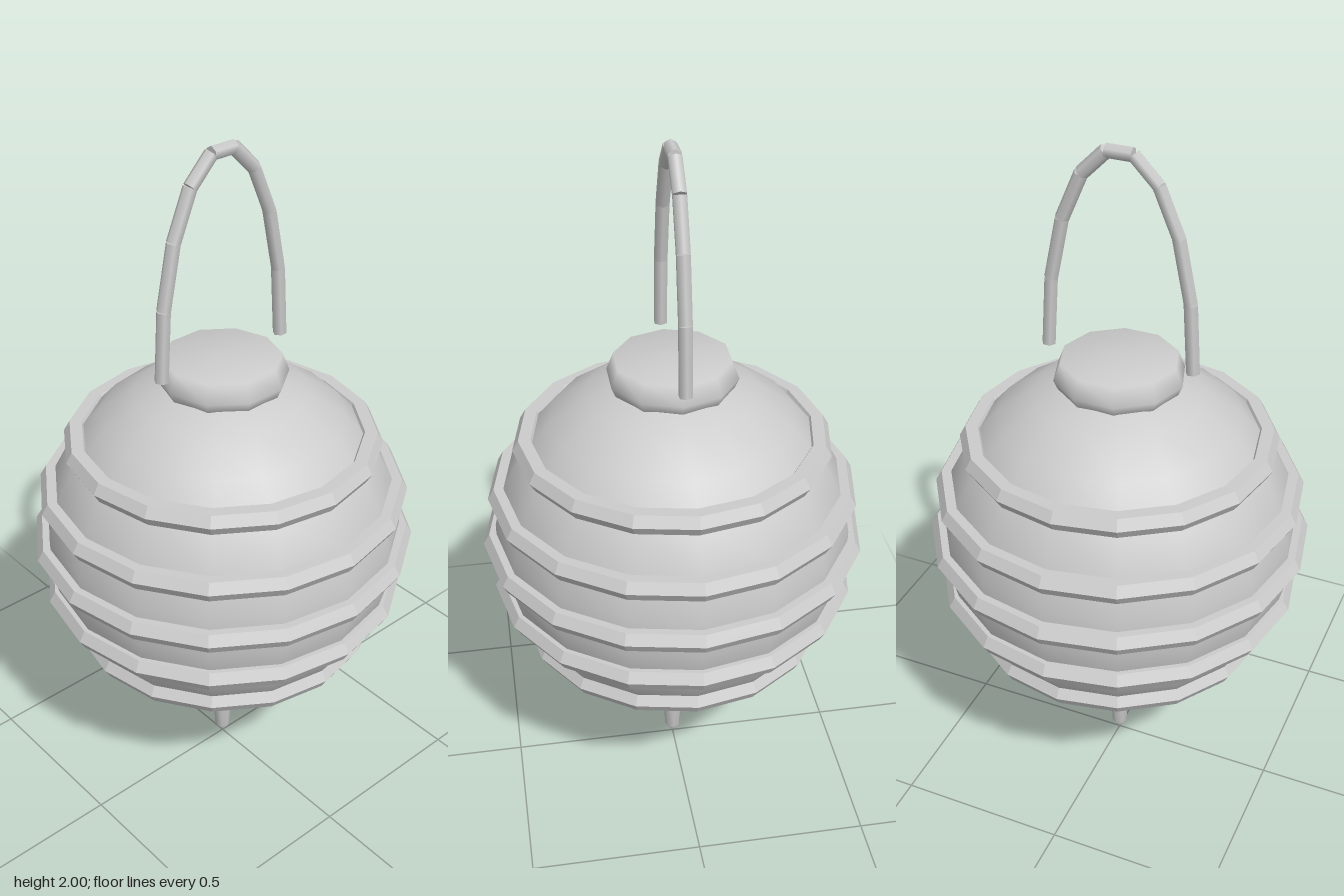
import * as THREE from 'three';

export function createModel() {
  const group = new THREE.Group();
  const grey = new THREE.MeshStandardMaterial({ color: 0xcccccc });
  // same colour, faceted for the hoops
  const facetedGrey = new THREE.MeshStandardMaterial({ color: 0xcccccc, flatShading: true });
  grey.name = 'paper grey';
  facetedGrey.name = 'faceted grey';

  const add = (name, geometry, material = grey) => {
    const mesh = new THREE.Mesh(geometry, material);
    mesh.name = name;
    group.add(mesh);
    return mesh;
  };
  const lathe = (points, sides) => new THREE.LatheGeometry(
    points.map(([r, y]) => new THREE.Vector2(r, y)), sides, Math.PI / 2);

  // round lantern body
  const midY = 0.835, radius = 0.52;
  add('body', new THREE.SphereGeometry(radius, 16, 13)).position.y = midY;

  // five hoops following the body
  for (let i = -2; i <= 2; i++) {
    const dy = i * 0.155;
    const hoop = new THREE.TorusGeometry(Math.sqrt(radius * radius - dy * dy), 0.035, 6, 16);
    hoop.rotateX(Math.PI / 2);
    add('hoop' + (i + 3), hoop, facetedGrey).position.y = midY + dy;
  }

  // rounded end caps
  const cap = [[0, -0.046], [0.165, -0.046], [0.185, 0.005], [0.168, 0.045], [0, 0.045]];
  add('topCap', lathe(cap.map(([r, y]) => [r, -y]).reverse(), 10)).position.y = 1.355;
  add('bottomCap', lathe(cap, 10)).position.y = 0.32;

  // hanging tassel
  add('tassel', lathe([[0, 0], [0.024, 0.035], [0.037, 0.25], [0.02, 0.275], [0, 0.28]], 8));

  // arched handle made of straight rods
  const handle = new THREE.Group();
  handle.name = 'handle';
  const arch = (i) => {
    const a = (i * Math.PI) / 9;
    return new THREE.Vector3(0.213 * Math.cos(a), 1.4 + 0.59 * Math.sin(a), 0);
  };
  const up = new THREE.Vector3(0, 1, 0);
  for (let i = 0; i < 9; i++) {
    const a = arch(i), b = arch(i + 1);
    const dir = b.clone().sub(a);
    const rod = new THREE.Mesh(
      new THREE.CylinderGeometry(0.02, 0.02, dir.length(), 6, 1, false, Math.PI / 6), grey);
    rod.name = 'handleRod' + (i + 1);
    rod.position.copy(a).add(b).multiplyScalar(0.5);
    rod.quaternion.setFromUnitVectors(up, dir.normalize());
    handle.add(rod);
  }
  group.add(handle);
  return group;
}
